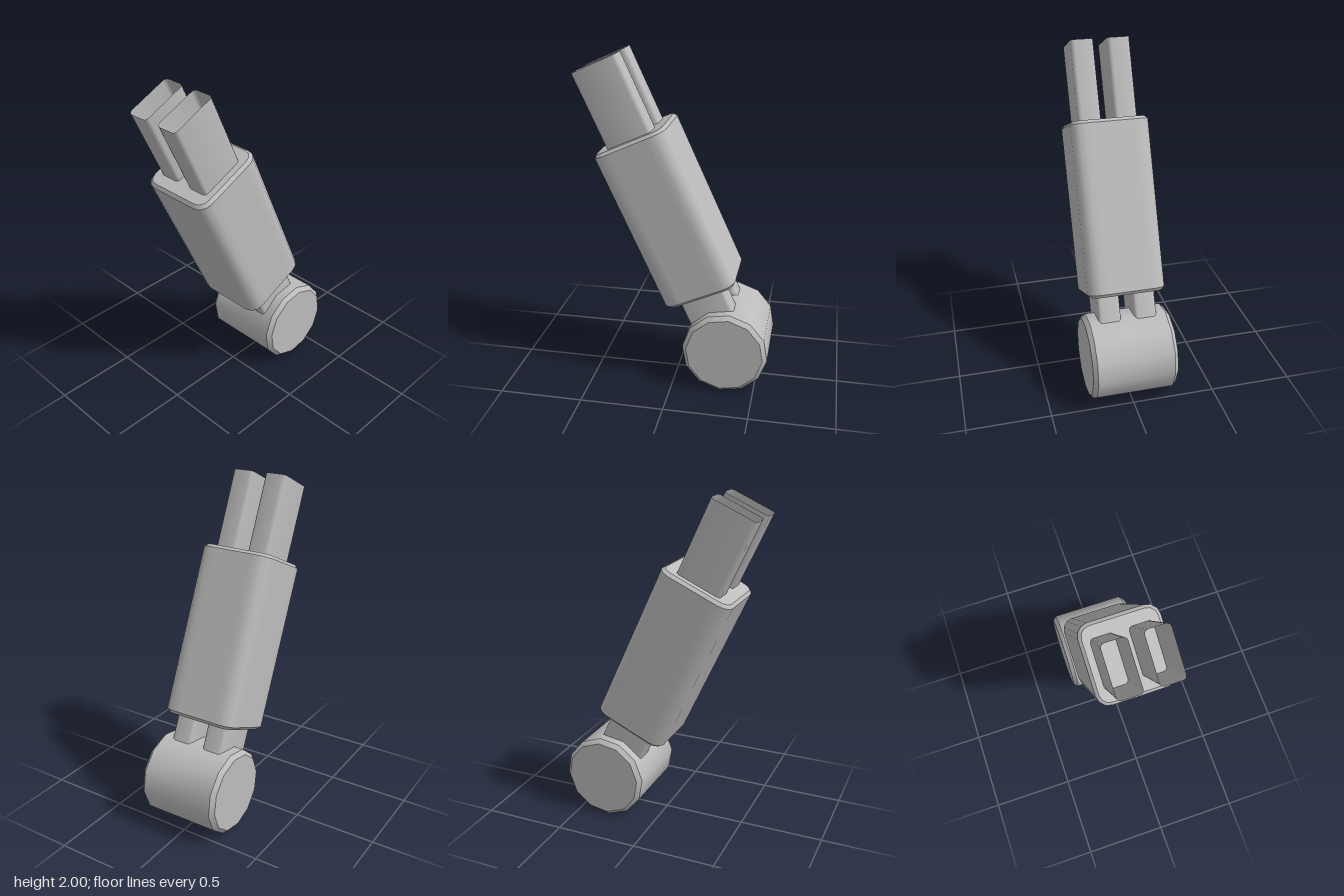
import * as THREE from 'three';
import { toCreasedNormals } from 'three/addons/utils/BufferGeometryUtils.js';

const CREASE = THREE.MathUtils.degToRad(40);

// Counter-clockwise outline of a rounded rectangle; pad adds a point beside each corner
function outline(w, d, r, segments, pad = 0) {
  const points = [];
  for (let c = 0; c < 4; c++) {
    const sx = c === 0 || c === 3 ? 1 : -1;
    const sy = c < 2 ? 1 : -1;
    const centre = new THREE.Vector2(sx * (w / 2 - r), sy * (d / 2 - r));
    const at = (a) => new THREE.Vector2(Math.cos(a), Math.sin(a)).multiplyScalar(r).add(centre);
    const start = (c * Math.PI) / 2;
    const end = start + Math.PI / 2;
    if (pad) points.push(at(start).add(new THREE.Vector2(Math.sin(start), -Math.cos(start)).multiplyScalar(pad)));
    for (let i = 0; i <= segments; i++) points.push(at(start + ((end - start) * i) / segments));
    if (pad) points.push(at(end).add(new THREE.Vector2(-Math.sin(end), Math.cos(end)).multiplyScalar(pad)));
  }
  return points;
}

// Upright box with rounded long edges and a small chamfer around both ends
function roundedBlock(w, d, length, radius, bevel) {
  const shape = new THREE.Shape(outline(w - 2 * bevel, d - 2 * bevel, radius - bevel, 3, 0.04));
  const geometry = new THREE.ExtrudeGeometry(shape, {
    depth: length - 2 * bevel, bevelEnabled: true, bevelSegments: 1, bevelSize: bevel, bevelThickness: bevel,
  });
  geometry.translate(0, 0, bevel - length / 2).rotateX(-Math.PI / 2);
  return toCreasedNormals(geometry, CREASE);
}

// Upright rectangular tube, open at both ends
function openTube(w, d, y0, y1, radius) {
  const ring = outline(w, d, radius, 3);
  const positions = [];
  ring.forEach((a, i) => {
    const b = ring[(i + 1) % ring.length];
    positions.push(a.x, y0, -a.y, b.x, y0, -b.y, b.x, y1, -b.y);
    positions.push(a.x, y0, -a.y, b.x, y1, -b.y, a.x, y1, -a.y);
  });
  const geometry = new THREE.BufferGeometry();
  geometry.setAttribute('position', new THREE.Float32BufferAttribute(positions, 3));
  return toCreasedNormals(geometry, CREASE);
}

export function createModel() {
  const grey = new THREE.MeshStandardMaterial({ color: 0xbcbcbc, side: THREE.DoubleSide });
  grey.name = 'grey';

  const model = new THREE.Group();
  model.name = 'jointedArm';

  // Everything leans forward about the centre of the joint drum
  const arm = new THREE.Group();
  arm.name = 'leaningArm';
  arm.position.set(0, 0.257, -0.322);
  arm.rotation.x = THREE.MathUtils.degToRad(24.5);
  model.add(arm);

  const add = (name, geometry, x = 0, y = 0) => {
    const mesh = new THREE.Mesh(geometry, grey);
    mesh.name = name;
    mesh.position.set(x, y, 0);
    arm.add(mesh);
  };

  // Twelve-sided drum lying across the arm, with chamfered rims
  const R = 0.257, H = 0.256, B = 0.025;
  const profile = [[0, -H], [R - B, -H], [R, B - H], [R, H - B], [R - B, H], [0, H]]
    .map(([x, y]) => new THREE.Vector2(x, y));
  const drum = new THREE.LatheGeometry(profile, 12).rotateZ(Math.PI / 2);
  add('jointDrum', toCreasedNormals(drum, CREASE));

  // Main sleeve
  add('sleeve', roundedBlock(0.462, 0.457, 1.02, 0.075, 0.018), 0, 0.881);

  // Pair of hollow rods passing through the sleeve
  for (const side of [1, -1]) {
    add(side > 0 ? 'leftRod' : 'rightRod', openTube(0.134, 0.282, 0.1, 1.857, 0.022), side * 0.108);
  }

  return model;
}
